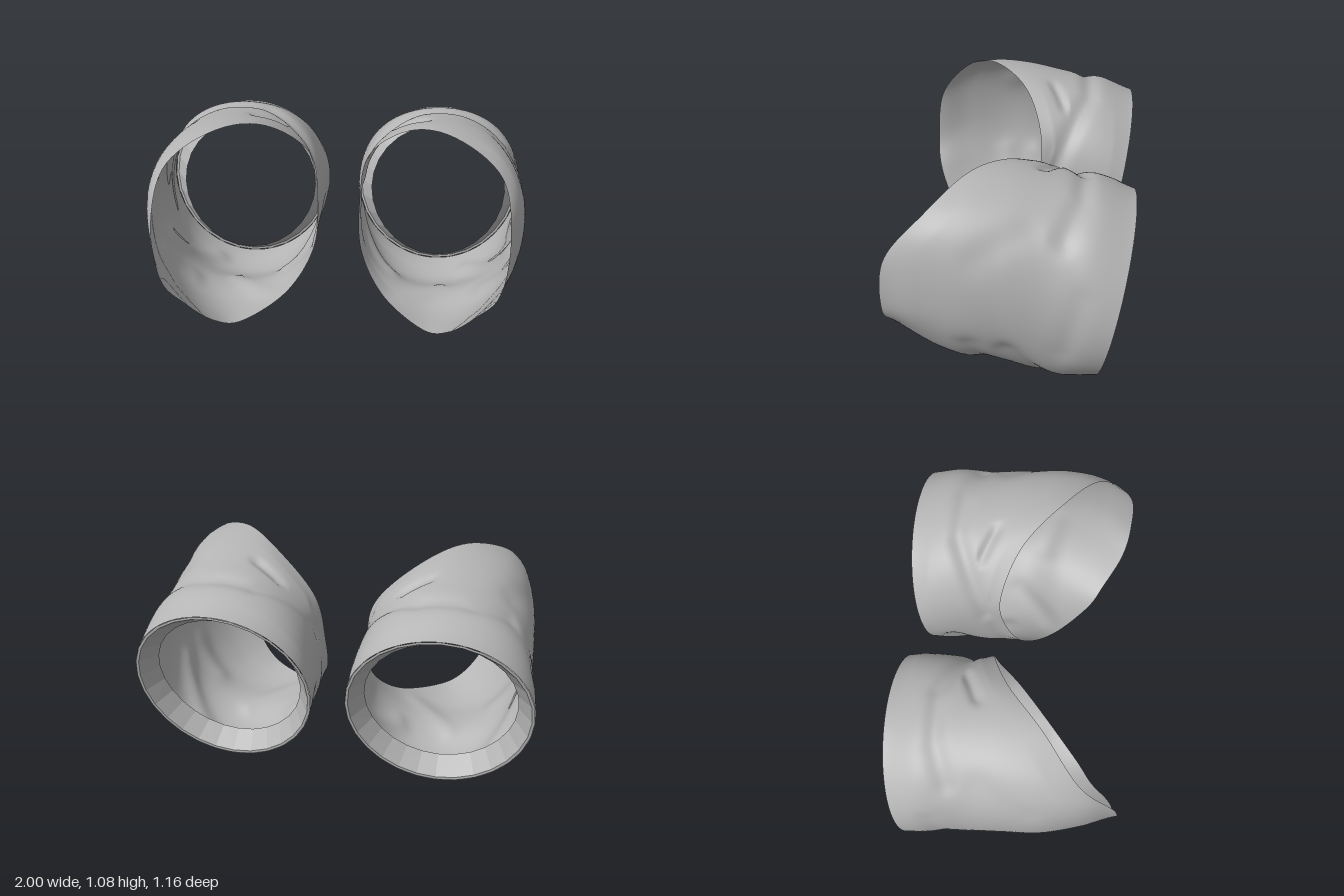
import * as THREE from 'three';

const fabric = new THREE.MeshStandardMaterial({ color: 0xb4b4b4, side: THREE.DoubleSide });
fabric.name = 'grey fabric';

const RAD = Math.PI / 180;
const AROUND = 112, ALONG = 56;

// Smooth curve through evenly spaced values
function cubic(v, f, closed) {
  const n = v.length, i = Math.floor(f), t = f - i;
  const at = k => v[closed ? (k + n) % n : Math.min(Math.max(k, 0), n - 1)];
  const [a, b, c, d] = [at(i - 1), at(i), at(i + 1), at(i + 2)];
  return b + 0.5 * t * (c - a + t * (2 * a - 5 * b + 4 * c - d + t * (3 * (b - c) + d - a)));
}

// Sleeve extents at z = -0.6, -0.4 ... 0.6
const OUTER = [1.0, 0.995, 0.97, 0.967, 0.957, 0.905, 0.82];
const INNER = [0.085, 0.09, 0.108, 0.112, 0.11, 0.12, 0.2];
const TOP = [0.925, 0.995, 1.035, 1.075, 1.09, 1.07, 0.95];
const BOTTOM = [0.02, 0.02, 0.004, 0.07, 0.06, 0.08, 0.11];

// Slanted front edge every 30 degrees, from outer over the top to inner and bottom
const RIM_X = [0.825, 0.848, 0.8, 0.58, 0.36, 0.155, 0.112, 0.13, 0.26, 0.47, 0.6, 0.72];
const RIM_Y = [0.46, 0.76, 0.98, 1.085, 1.03, 0.84, 0.58, 0.33, 0.15, 0.085, 0.14, 0.3];
const RIM_Z = [0.577, 0.54, 0.36, 0.17, -0.01, -0.1, -0.07, 0.03, 0.19, 0.38, 0.465, 0.55];
const backEdge = a => -0.5 - 0.081 * Math.sin(a) + 0.01 * Math.cos(a);

// Creases: start angle, start z, end angle, end z, depth, width
const FOLDS = [
  [48, -0.26, 75, -0.33, 0.02, 0.05],
  [75, -0.33, 108, -0.34, 0.02, 0.045],
  [108, -0.34, 165, -0.17, 0.025, 0.045],
  [105, -0.15, 123, -0.21, 0.02, 0.03],
  [-27, -0.03, -65, -0.28, 0.022, 0.06],
  [-25, 0.16, -52, 0.1, 0.016, 0.06],
  [30, 0.12, 50, -0.1, 0.01, 0.07],
  [152, -0.16, 205, -0.06, 0.015, 0.05],
  [195, -0.36, 238, -0.1, 0.022, 0.055],
  [245, 0.2, 275, -0.05, 0.014, 0.05],
  [-15, -0.28, 20, -0.36, 0.01, 0.06],
];

// Inward dent of the deepest crease near this place
function foldDepth(a, z) {
  return Math.max(...FOLDS.map(([a0, z0, a1, z1, depth, width]) => {
    const mid = (a0 + a1) / 2 * RAD;
    const da = Math.atan2(Math.sin(a - mid), Math.cos(a - mid)) + mid;
    const px = (da - a0 * RAD) * 0.5, pz = z - z0;
    const vx = (a1 - a0) * RAD * 0.5, vz = z1 - z0;
    const t = THREE.MathUtils.clamp((px * vx + pz * vz) / (vx * vx + vz * vz), 0, 1);
    const d = Math.hypot(px - vx * t, pz - vz * t) / width;
    return depth * Math.exp(-d * d);
  }));
}

// Oval cross-section at depth z, scaled by k about its middle
function section(a, z, k) {
  const f = (z + 0.6) / 0.2;
  const [x0, x1, y0, y1] = [INNER, OUTER, BOTTOM, TOP].map(v => cubic(v, f));
  return [(x0 + x1) / 2 + (x1 - x0) / 2 * Math.cos(a) * k,
    (y0 + y1) / 2 + (y1 - y0) / 2 * Math.sin(a) * k];
}

// Point on the cloth; t runs from the back hem to the front edge
function sleevePoint(a, t) {
  const [rx, ry, rz] = [RIM_X, RIM_Y, RIM_Z].map(v => cubic(v, a / RAD / 30, true));
  const z = THREE.MathUtils.lerp(backEdge(a), rz, t);
  const fade = Math.min(1, t * 6, (1 - t) * 6);
  const k = 1 + fade * (0.03 * Math.sin(2 * a) ** 2 - 2 * foldDepth(a, z));
  const [x, y] = section(a, z, k);
  // ease the cloth onto the front edge
  const [ex, ey] = section(a, rz, 1);
  const pull = t ** 3;
  return [x + (rx - ex) * pull, y + (ry - ey) * pull, z];
}

// Turned-in hem: thin lip, then a band narrowing inward
function hemPoint(a, t) {
  const [x, y, z] = sleevePoint(a, 0);
  const lip = [0, 0.03, 0.175][t * 2];
  const depth = t === 1 ? 0.1 : 0;
  return [x + (0.53 - x) * lip, y + (0.52 - y) * lip, z + depth];
}

// Closed loops of points joined into a skin
function loft(rows, cols, point, side) {
  const pos = [], index = [];
  for (let j = 0; j <= rows; j++) {
    for (let i = 0; i < cols; i++) {
      const [x, y, z] = point(i / cols * Math.PI * 2, j / rows);
      pos.push(x * side, y, z);
      if (j === rows) continue;
      const a = j * cols + i, b = j * cols + (i + 1) % cols, c = a + cols, d = b + cols;
      if (side > 0) index.push(a, b, d, a, d, c);
      else index.push(a, d, b, a, c, d);
    }
  }
  const geo = new THREE.BufferGeometry();
  geo.setAttribute('position', new THREE.Float32BufferAttribute(pos, 3));
  geo.setIndex(index);
  geo.computeVertexNormals();
  return geo;
}

function makeSleeve(side) {
  const sleeve = new THREE.Group();
  sleeve.name = side > 0 ? 'leftSleeve' : 'rightSleeve';

  const cloth = new THREE.Mesh(loft(ALONG, AROUND, sleevePoint, side), fabric);
  cloth.name = 'sleeveCloth';

  // faceted band
  const hemGeo = loft(2, 28, hemPoint, side).toNonIndexed();
  hemGeo.computeVertexNormals();
  const hem = new THREE.Mesh(hemGeo, fabric);
  hem.name = 'turnedInHem';

  sleeve.add(cloth, hem);
  return sleeve;
}

export function createModel() {
  const model = new THREE.Group();
  model.name = 'pairOfSleeves';
  for (const side of [1, -1]) model.add(makeSleeve(side));
  return model;
}
